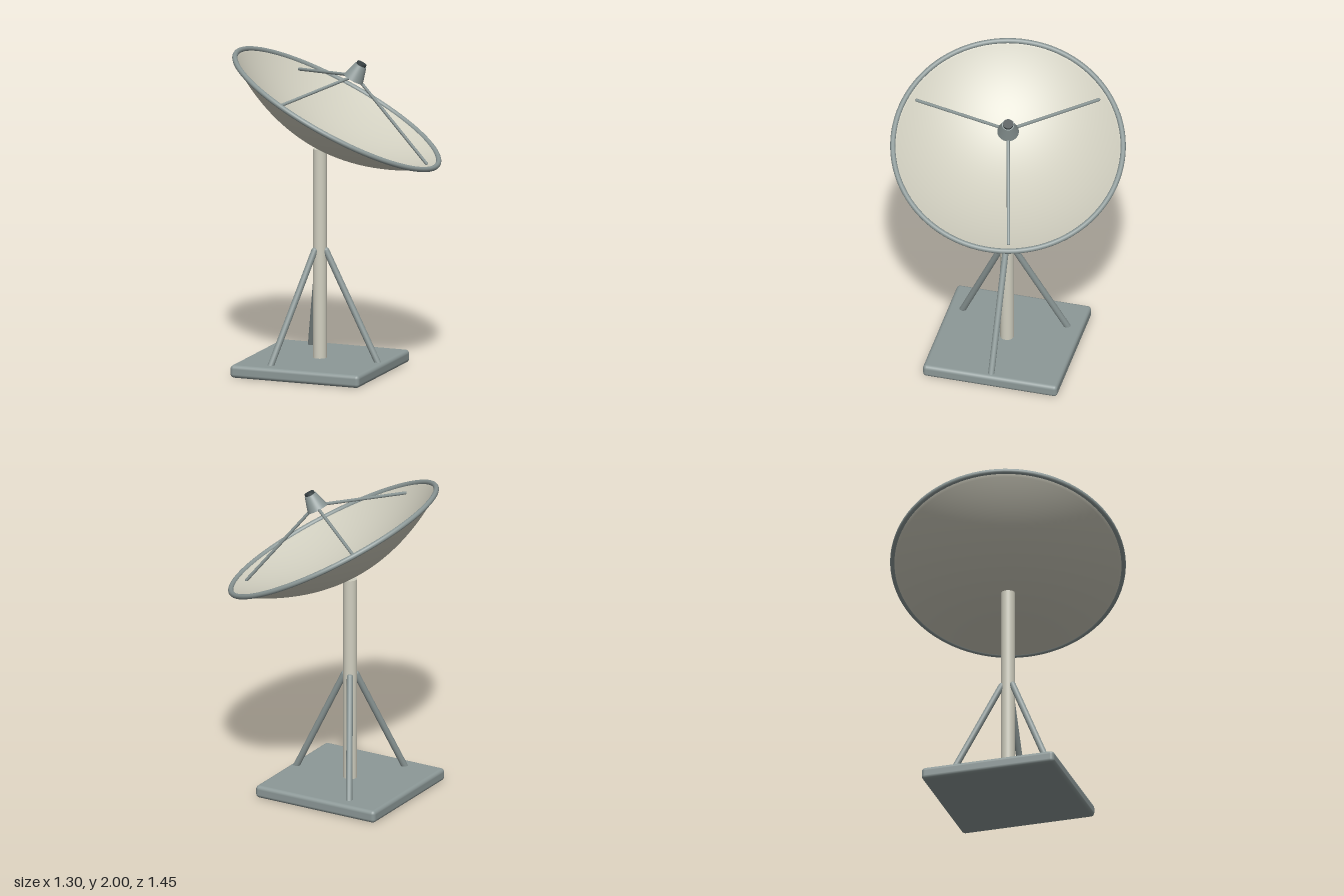
import * as THREE from 'three';
import { RoundedBoxGeometry } from 'three/addons/geometries/RoundedBoxGeometry.js';

export function createModel() {
  const mat = (name, color) => new THREE.MeshStandardMaterial({ name, color });
  const cream = mat('cream paint', 0xd0cebf);
  const steel = mat('grey steel', 0x8c9897);
  const dark = mat('dark cap', 0x3a4345);

  const model = new THREE.Group();
  model.name = 'dishAntenna';

  function add(parent, name, geometry, material, x = 0, y = 0, z = 0) {
    const mesh = new THREE.Mesh(geometry, material);
    mesh.name = name;
    mesh.position.set(x, y, z);
    parent.add(mesh);
    return mesh;
  }

  // Round-ended rod between two points
  function rod(parent, name, a, b, radius) {
    const dir = b.clone().sub(a);
    const mesh = add(parent, name, new THREE.CapsuleGeometry(radius, dir.length(), 5, 16), steel);
    mesh.position.copy(a).add(b).multiplyScalar(0.5);
    mesh.quaternion.setFromUnitVectors(new THREE.Vector3(0, 1, 0), dir.normalize());
  }

  const polar = (r, y, angle) =>
    new THREE.Vector3(r * Math.cos(angle), y, r * Math.sin(angle));

  // Stand: slab, pole and three braces
  const stand = new THREE.Group();
  stand.name = 'stand';
  stand.position.set(-0.1, 0, 0.032);
  model.add(stand);
  add(stand, 'base', new RoundedBoxGeometry(0.86, 0.08, 0.86, 4, 0.024), steel, 0, 0.04, 0);
  add(stand, 'pole', new THREE.CylinderGeometry(0.043, 0.043, 1.33, 40), cream, 0, 0.735, 0);
  for (let i = 0; i < 3; i++) {
    const angle = i * Math.PI * 2 / 3;
    rod(stand, 'brace', polar(0.395, 0.06, angle), polar(0.042, 0.76, angle), 0.02);
  }

  // Tilted dish assembly: local y is the dish axis, origin at the rim's centre
  const head = new THREE.Group();
  head.name = 'dishAssembly';
  head.position.set(0, 1.652, 0);
  head.rotation.set(0, THREE.MathUtils.degToRad(15), THREE.MathUtils.degToRad(-28));
  model.add(head);

  // Thin parabolic shell, outside from the centre to the rim, then back inside
  const R = 0.713, depth = 0.245, thick = 0.012, steps = 28;
  const outer = [], inner = [];
  for (let i = 0; i <= steps; i++) {
    const r = R * i / steps;
    const h = -depth * (1 - (r / R) ** 2);
    outer.push(new THREE.Vector2(r, h - thick / 2));
    inner.unshift(new THREE.Vector2(r, h + thick / 2));
  }
  add(head, 'dish', new THREE.LatheGeometry([...outer, ...inner], 96), cream);
  const rim = add(head, 'rim', new THREE.TorusGeometry(R, 0.0165, 14, 96), steel);
  rim.rotation.x = Math.PI / 2;

  // Feed horn on three arms
  add(head, 'feedHorn', new THREE.CylinderGeometry(0.038, 0.067, 0.1, 40), steel, 0, 0.27, 0);
  add(head, 'feedCap', new THREE.CylinderGeometry(0.032, 0.032, 0.03, 32), dark, 0, 0.321, 0);
  for (let i = 0; i < 3; i++) {
    const angle = i * Math.PI * 2 / 3;
    rod(head, 'feedArm', polar(0.65, -0.03, angle), polar(0.04, 0.228, angle), 0.01);
  }

  return model;
}
